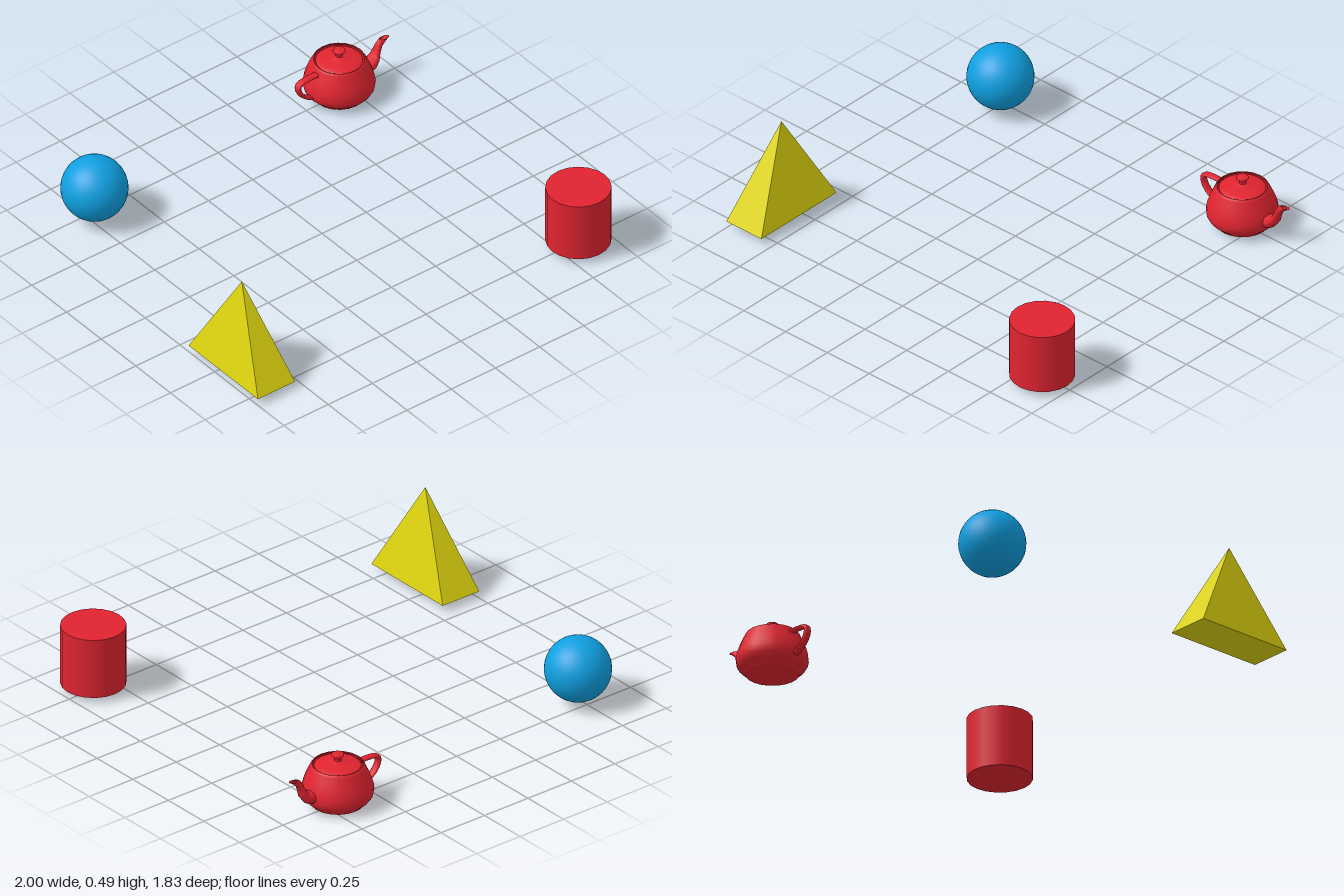
import * as THREE from 'three';

const red = new THREE.MeshStandardMaterial({ color: 0xe02430, side: THREE.DoubleSide });
red.name = 'red';
const blue = new THREE.MeshStandardMaterial({ color: 0x0f9fe0 });
blue.name = 'blue';
const yellow = new THREE.MeshStandardMaterial({ color: 0xe0d60f });
yellow.name = 'yellow';

const SIDES = 20; // round parts are slightly faceted in outline
const STEPS = 5; // samples per curve

function mesh(name, geometry, material, x = 0, y = 0, z = 0) {
  const m = new THREE.Mesh(geometry, material);
  m.name = name;
  m.position.set(x, y, z);
  return m;
}

// Samples a chain of cubic curves that share their end points.
function chain(points) {
  const v = points.map(p => new THREE.Vector2(...p));
  const out = [v[0]];
  for (let i = 0; i + 3 < v.length; i += 3) {
    const curve = new THREE.CubicBezierCurve(v[i], v[i + 1], v[i + 2], v[i + 3]);
    out.push(...curve.getPoints(STEPS).slice(1));
  }
  return out;
}

const turned = points => new THREE.LatheGeometry(
  chain(points).map(p => new THREE.Vector2(Math.max(p.x, 0), p.y)), SIDES);

// Skins oval sections spanned between two side curves; widths holds [half width, 0] controls.
function loft(first, second, widths) {
  const a = chain(first), b = chain(second), w = chain(widths);
  const around = 2 * STEPS, pos = [], index = [];
  a.forEach((p, i) => {
    for (let j = 0; j < around; j++) {
      const u = j <= STEPS ? j / STEPS : 2 - j / STEPS;
      const s = u * u * (3 - 2 * u);
      const z = 3 * u * (1 - u) * w[i].x * (j <= STEPS ? 1 : -1);
      pos.push(p.x + (b[i].x - p.x) * s, p.y + (b[i].y - p.y) * s, z);
      if (i < a.length - 1) {
        const k = (j + 1) % around, r = i * around, n = r + around;
        index.push(r + j, r + k, n + j, r + k, n + k, n + j);
      }
    }
  });
  const g = new THREE.BufferGeometry();
  g.setAttribute('position', new THREE.Float32BufferAttribute(pos, 3));
  g.setIndex(index);
  g.computeVertexNormals();
  return g;
}

function createTeapot() {
  const pot = new THREE.Group();
  pot.name = 'teapot';

  // Bottom, belly and rolled rim
  pot.add(mesh('teapotBase', turned([[0, 0], [1.425, 0], [1.5, 0.075], [1.5, 0.15]]), red));
  pot.add(mesh('teapotBody', turned([
    [1.5, 0.15], [1.5, 0.225], [2, 0.45], [2, 0.9],
    [2, 1.35], [1.75, 1.875], [1.5, 2.4]]), red));
  pot.add(mesh('teapotRim', turned([[1.5, 2.4], [1.4375, 2.53], [1.3375, 2.53], [1.4, 2.4]]), red));

  // Lid and its knob
  pot.add(mesh('teapotLid', turned([[1.3, 2.4], [1.3, 2.55], [0.4, 2.55], [0.2, 2.7]]), red));
  pot.add(mesh('teapotKnob', turned([[0.2, 2.7], [0, 2.85], [0.8, 3.15], [0, 3.15]]), red));

  // Handle: inner curve, outer curve
  pot.add(mesh('teapotHandle', loft(
    [[-1.6, 2.025], [-2.3, 2.025], [-2.7, 2.025], [-2.7, 1.8],
      [-2.7, 1.575], [-2.5, 1.125], [-2, 0.9]],
    [[-1.5, 2.25], [-2.5, 2.25], [-3, 2.25], [-3, 1.8],
      [-3, 1.35], [-2.65, 0.94], [-1.9, 0.6]],
    Array(7).fill([0.3, 0])), red));

  // Spout with its lip: upper curve, lower curve
  pot.add(mesh('teapotSpout', loft(
    [[1.7, 1.425], [2.6, 1.425], [2.3, 2.1], [2.7, 2.4],
      [2.8, 2.475], [2.9, 2.475], [2.8, 2.4]],
    [[1.7, 0.6], [3.1, 0.825], [2.4, 2.025], [3.3, 2.4],
      [3.525, 2.494], [3.45, 2.5125], [3.2, 2.4]],
    [[0.66, 0], [0.66, 0], [0.25, 0], [0.25, 0], [0.25, 0], [0.15, 0], [0.15, 0]]), red));

  pot.scale.setScalar(0.0817);
  pot.position.set(0.685, 0, -0.75);
  return pot;
}

export function createModel() {
  const model = new THREE.Group();
  model.name = 'shapes';

  model.add(createTeapot());
  model.add(mesh('ball', new THREE.SphereGeometry(0.152, 32, 20), blue, -0.73, 0.174, -0.711));
  model.add(mesh('cylinder', new THREE.CylinderGeometry(0.148, 0.148, 0.292, SIDES), red, 0.85, 0.174, 0.765));

  // Pyramid on a narrow rectangular base
  const pyramid = new THREE.ConeGeometry(Math.SQRT1_2, 1, 4, 1)
    .rotateY(Math.PI / 4).scale(0.21, 0.46, 0.5).toNonIndexed();
  pyramid.computeVertexNormals();
  model.add(mesh('pyramid', pyramid, yellow, -0.895, 0.264, 0.562));

  return model;
}
